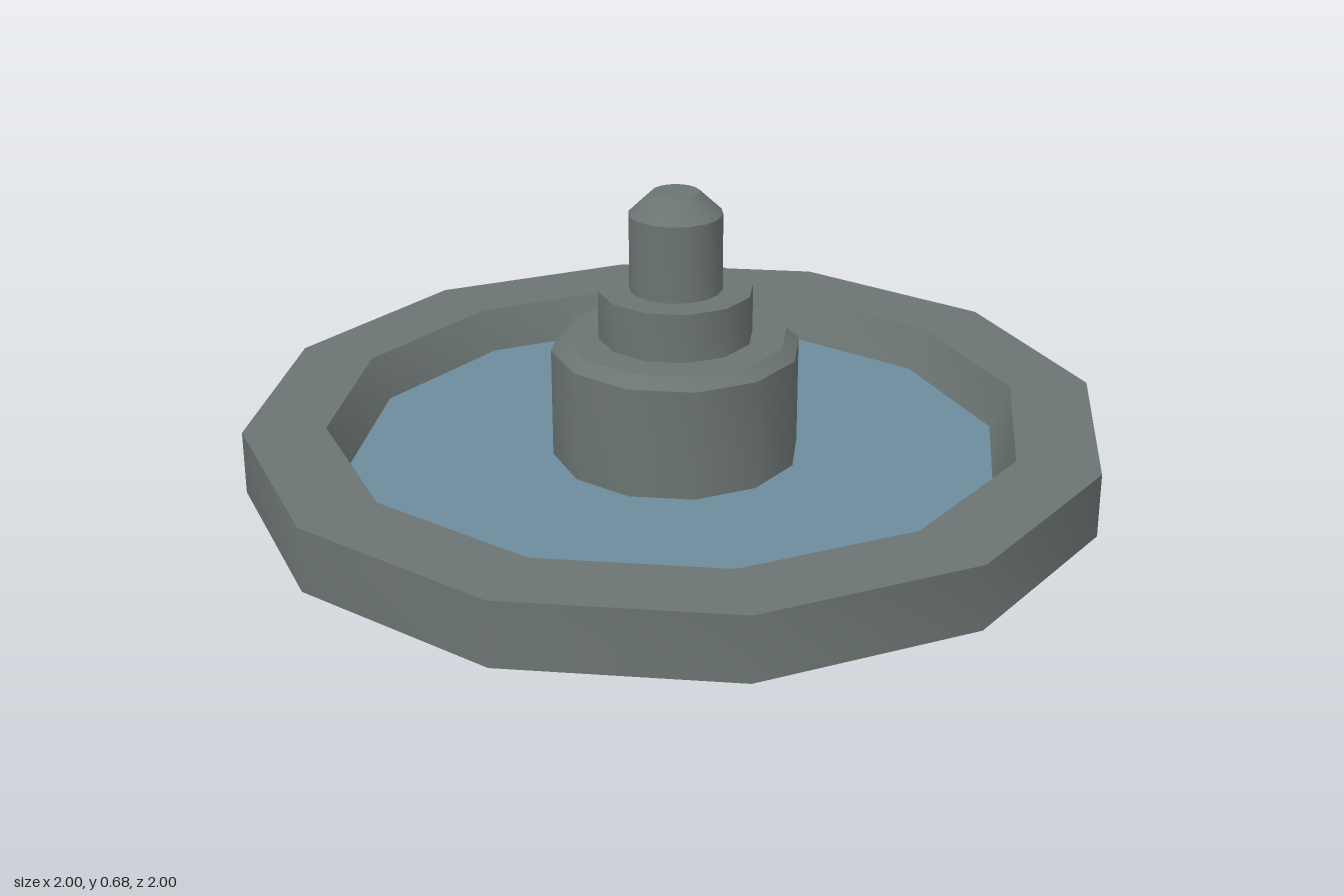
import * as THREE from 'three';
import { toCreasedNormals } from 'three/addons/utils/BufferGeometryUtils.js';

const stone = new THREE.MeshStandardMaterial({ color: 0x6b7472 });
const water = new THREE.MeshStandardMaterial({ color: 0x6c8b9b });

// Turned part: profile of [radius, height], listed bottom to top along the outside
function turned(name, profile, sides = 12) {
  const points = profile.map(([r, y]) => new THREE.Vector2(r, y));
  const geometry = toCreasedNormals(new THREE.LatheGeometry(points, sides), 0.65);
  const mesh = new THREE.Mesh(geometry, stone);
  mesh.name = name;
  return mesh;
}

export function createModel() {
  const group = new THREE.Group();
  group.name = 'fountain';

  // Basin with flat rim and sloping inner wall
  group.add(turned('basin', [[0, 0], [1, 0], [1, 0.15], [0.81, 0.15], [0.76, 0.04], [0, 0.04]]));

  // Water surface
  const disc = new THREE.CircleGeometry(0.765, 12).rotateX(-Math.PI / 2);
  const surface = new THREE.Mesh(disc, water);
  surface.name = 'water';
  surface.position.y = 0.05;
  group.add(surface);

  // Stepped centre column
  group.add(turned('pedestal', [[0, 0.04], [0.29, 0.04], [0.29, 0.31], [0.26, 0.335], [0, 0.335]]));
  group.add(turned('collar', [[0, 0.33], [0.18, 0.33], [0.18, 0.45], [0, 0.45]]));
  group.add(turned('spout', [[0, 0.44], [0.108, 0.44], [0.108, 0.63], [0.055, 0.68], [0, 0.68]], 16));

  return group;
}
